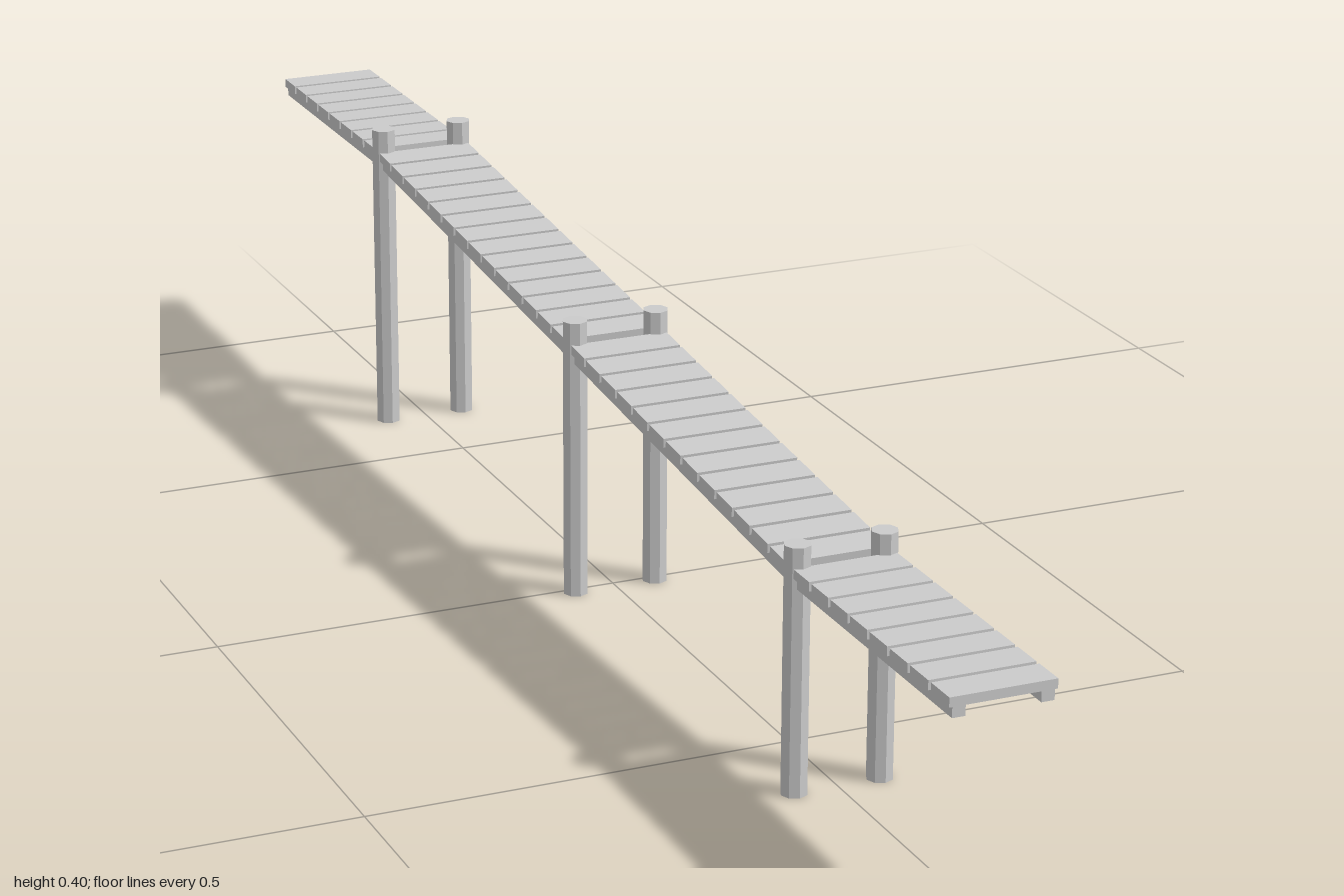
import * as THREE from 'three';

export function createModel() {
  const model = new THREE.Group();
  const material = new THREE.MeshStandardMaterial({ color: 0xcccccc, flatShading: true });

  function add(name, geometry, parent) {
    const mesh = new THREE.Mesh(geometry, material);
    mesh.name = name;
    parent.add(mesh);
    return mesh;
  }

  // Deck spans between post rows: z and height of the plank undersides
  const spans = [
    { name: 'lowerLanding', z0: 1, y0: 0.256, z1: 0.625, y1: 0.256, planks: 8 },
    { name: 'lowerRamp', z0: 0.625, y0: 0.256, z1: 0.008, y1: 0.308, planks: 13 },
    { name: 'upperRamp', z0: 0.008, y0: 0.308, z1: -0.639, y1: 0.361, planks: 14 },
    { name: 'upperLanding', z0: -0.639, y0: 0.361, z1: -1, y1: 0.361, planks: 8 },
  ];
  const plankThick = 0.011, plankWidth = 0.122;
  const beamThick = 0.012, beamWidth = 0.015, beamX = 0.05;
  const postClearance = 0.009, plankGap = 0.006;

  for (const s of spans) {
    const span = new THREE.Group();
    span.name = s.name;
    const length = Math.hypot(s.z1 - s.z0, s.y1 - s.y0);
    span.position.set(0, (s.y0 + s.y1) / 2, (s.z0 + s.z1) / 2);
    span.rotation.x = Math.atan2(s.y1 - s.y0, s.z0 - s.z1);
    model.add(span);

    // Side beams under the planks
    for (const side of [-1, 1]) {
      add('beam', new THREE.BoxGeometry(beamWidth, beamThick, length), span)
        .position.set(side * beamX, -beamThick / 2, 0);
    }

    // Cross planks, leaving a gap at each post row
    const front = length / 2 - (s.z0 === 1 ? 0 : postClearance);
    const back = -length / 2 + (s.z1 === -1 ? 0 : postClearance);
    const size = (front - back - plankGap * (s.planks - 1)) / s.planks;
    for (let i = 0; i < s.planks; i++) {
      add('plank', new THREE.BoxGeometry(plankWidth, plankThick, size), span)
        .position.set(0, plankThick / 2, front - size / 2 - i * (size + plankGap));
    }
  }

  // Pairs of support posts, rising with the ramp
  for (const [z, height] of [[0.625, 0.291], [0.008, 0.345], [-0.639, 0.4]]) {
    for (const side of [-1, 1]) {
      add('post', new THREE.CylinderGeometry(0.0155, 0.0155, height, 8), model)
        .position.set(side * 0.0515, height / 2, z);
    }
  }
  return model;
}
